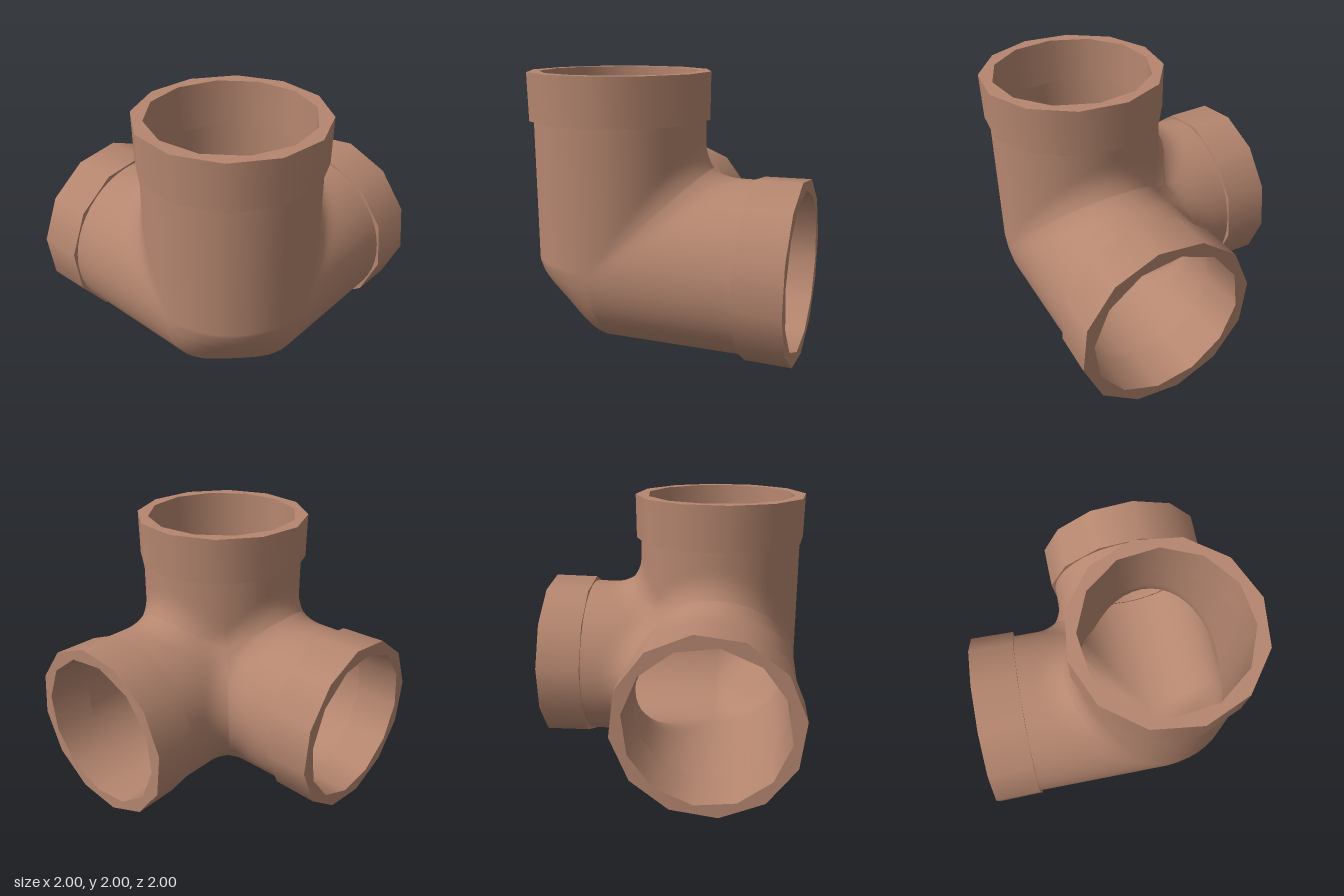
import * as THREE from 'three';
import { mergeGeometries, mergeVertices } from 'three/addons/utils/BufferGeometryUtils.js';

const CENTRE = [-0.35, 0.65, 0.35]; // where the three pipe axes meet
const ARM = 1.02;                   // axis length from the centre to the collar
const BASE = 1.015, END = 1.35;     // axis range of the collars
const SIDES = 48, ROWS = 14;
const TWIST = THREE.MathUtils.degToRad(8);

// Rounds the inner corners: pushes a point outward near the mitre between pipes.
function fillet(p) {
  return p.map((c, i) => {
    const other = Math.max(p[(i + 1) % 3], p[(i + 2) % 3]);
    if (c < 1e-6 || other < 1e-6) return c;
    const ratio = Math.max(c / other, other / c);
    const fall = Math.max(0, 1 - (ratio - 1) / 0.45);
    return c * (1 + 0.105 * fall * fall);
  });
}

// One mitred pipe along the given axis (0 = +x, 1 = +y, 2 = -z).
function armGeometry(axis, radius) {
  const positions = [], index = [];
  for (let r = 0; r <= ROWS; r++) {
    for (let s = 0; s <= SIDES; s++) {
      const angle = (s / SIDES) * Math.PI * 2;
      const u = radius * Math.cos(angle), v = radius * Math.sin(angle);
      const start = Math.max(u, v, 0);
      const p = [0, 0, 0];
      p[axis] = start + (ARM - start) * Math.pow(r / ROWS, 1.4);
      p[(axis + 1) % 3] = u;
      p[(axis + 2) % 3] = v;
      const [x, y, w] = fillet(p);
      positions.push(x, y, -w);
      if (r < ROWS && s < SIDES) {
        const a = r * (SIDES + 1) + s, b = a + 1, c = a + SIDES + 1, d = c + 1;
        index.push(a, c, b, b, c, d);
      }
    }
  }
  const g = new THREE.BufferGeometry();
  g.setAttribute('position', new THREE.Float32BufferAttribute(positions, 3));
  g.setIndex(index);
  return g;
}

// Outer corner: an eighth of a sphere, flattened towards its middle.
function cornerGeometry(radius) {
  const n = SIDES / 4;
  const g = new THREE.SphereGeometry(radius, n, n, 0, Math.PI / 2, Math.PI / 2, Math.PI / 2);
  g.deleteAttribute('uv');
  g.deleteAttribute('normal');
  const pos = g.attributes.position;
  const p = new THREE.Vector3();
  for (let i = 0; i < pos.count; i++) {
    p.fromBufferAttribute(pos, i);
    const middle = Math.abs(p.x * p.y * p.z) * Math.sqrt(27) / radius ** 3;
    p.multiplyScalar(1 - 0.14 * Math.pow(middle, 1.3));
    pos.setXYZ(i, p.x, p.y, p.z);
  }
  return g;
}

// Three pipes and the outer corner, welded into one smooth skin.
function shellGeometry(radius, inward) {
  const parts = [0, 1, 2].map((axis) => armGeometry(axis, radius));
  const g = mergeVertices(mergeGeometries([...parts, cornerGeometry(radius)]), 1e-4);
  if (inward) g.setIndex(Array.from(g.index.array).reverse());
  g.computeVertexNormals();
  return g;
}

// Corner points of a twelve-sided ring.
function ring(radius, twist) {
  return Array.from({ length: 12 }, (_, i) => {
    const a = twist + (i * Math.PI) / 6;
    return new THREE.Vector2(radius * Math.sin(a), -radius * Math.cos(a));
  });
}

// Twelve-sided collar along +y; its bore is turned against its outside.
function collarGeometry() {
  const band = (from, to, twist) => new THREE.LatheGeometry(
    [new THREE.Vector2(...from), new THREE.Vector2(...to)], 12, twist);
  const rimShape = new THREE.Shape(ring(0.657, TWIST));
  rimShape.holes.push(new THREE.Path(ring(0.57, -TWIST)));
  const rim = new THREE.ShapeGeometry(rimShape).rotateX(-Math.PI / 2).translate(0, END, 0);
  return mergeGeometries([
    band([0.652, BASE], [0.657, END], TWIST),  // outside
    band([0.57, END], [0.56, BASE], -TWIST),   // bore
    band([0.56, BASE], [0.652, BASE], TWIST),  // shoulder
    rim,
  ]);
}

export function createModel() {
  const clay = new THREE.MeshStandardMaterial({ color: 0xb5866f });
  clay.name = 'terracotta';
  const model = new THREE.Group();
  model.name = 'cornerPipeFitting';

  const add = (name, geometry) => {
    const mesh = new THREE.Mesh(geometry, clay);
    mesh.name = name;
    mesh.position.set(...CENTRE);
    model.add(mesh);
    return mesh;
  };

  // Pipe walls
  add('outerWall', shellGeometry(0.617, false));
  add('innerWall', shellGeometry(0.56, true));

  // Collars on the three openings
  const collar = collarGeometry();
  add('topCollar', collar);
  add('leftCollar', collar).rotation.z = -Math.PI / 2;
  add('backCollar', collar).rotation.x = -Math.PI / 2;

  return model;
}
